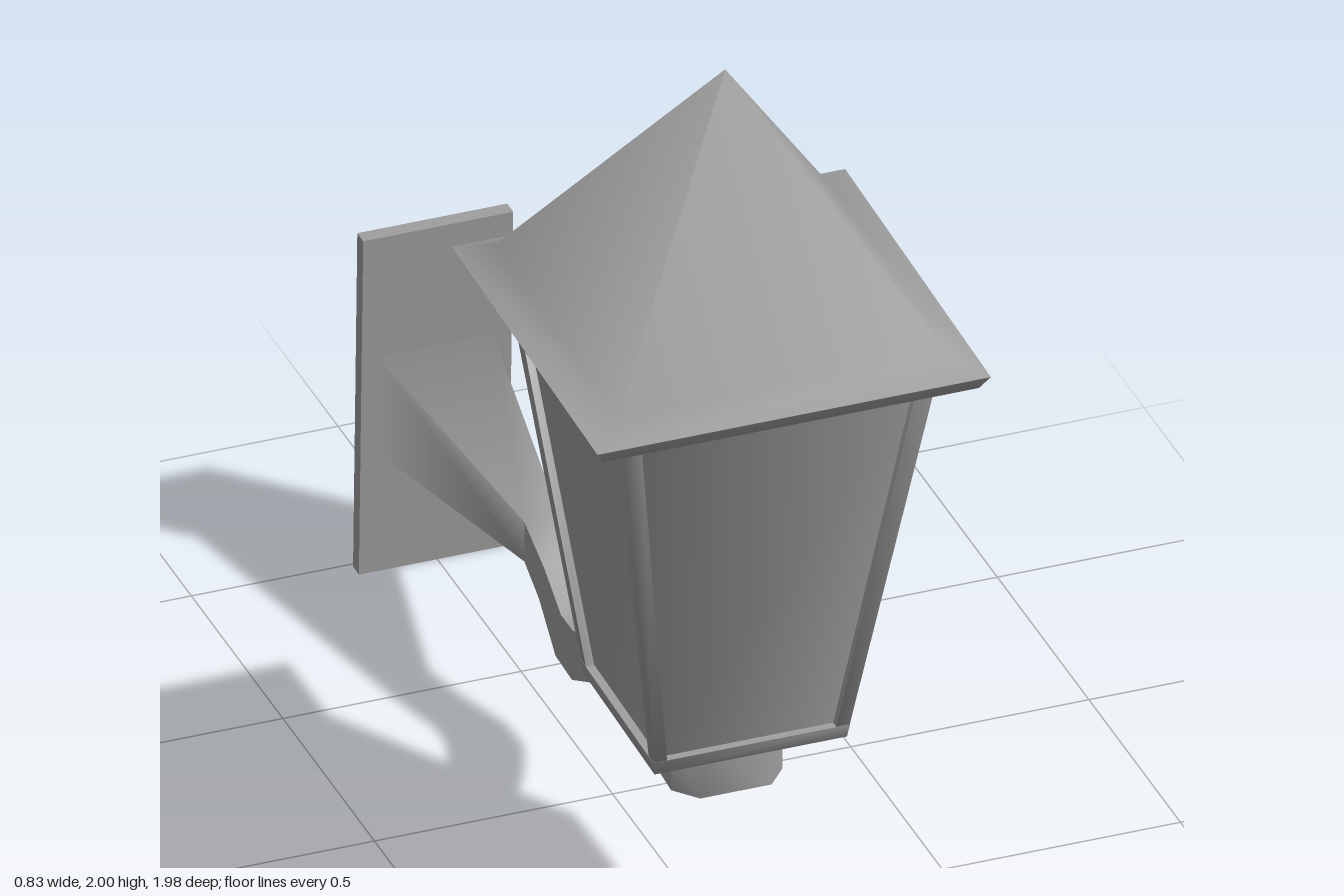
import * as THREE from 'three';
import { toCreasedNormals } from 'three/addons/utils/BufferGeometryUtils.js';

const material = new THREE.MeshStandardMaterial({ color: 0x9e9e9e, side: THREE.DoubleSide });

// Soften every edge that turns by less than a right angle
const CREASE = THREE.MathUtils.degToRad(89.5);

// Skin four-cornered cross-sections in order, with optional end caps
function loft(rings, capped = true) {
  const pos = [];
  const quad = (a, b, c, d) => [a, b, c, a, c, d].forEach((p) => pos.push(...p));
  for (let i = 0; i < rings.length - 1; i++) {
    for (let j = 0; j < 4; j++) {
      const k = (j + 1) % 4;
      quad(rings[i][j], rings[i][k], rings[i + 1][k], rings[i + 1][j]);
    }
  }
  if (capped) {
    quad(...[...rings[0]].reverse());
    quad(...rings[rings.length - 1]);
  }
  const geometry = new THREE.BufferGeometry();
  geometry.setAttribute('position', new THREE.Float32BufferAttribute(pos, 3));
  return toCreasedNormals(geometry, CREASE);
}

// Horizontal section of half width h at height y, slightly shallower than wide
const DEPTH = 0.965;
const square = (h, y, cx = 0, cz = 0) =>
  [[1, 1], [1, -1], [-1, -1], [-1, 1]].map(([sx, sz]) => [cx + sx * h, y, (cz + sz * h) * DEPTH]);

// Upright arm section: half width, then z and y of its top and bottom edges
const armSection = ([w, zt, yt, zb, yb]) => {
  const cx = -0.01;
  return [[cx - w, yb, zb], [cx - w, yt, zt], [cx + w, yt, zt], [cx + w, yb, zb]];
};

function addMesh(parent, name, geometry) {
  const mesh = new THREE.Mesh(geometry, material);
  mesh.name = name;
  parent.add(mesh);
  return mesh;
}

export function createModel() {
  const model = new THREE.Group();
  model.name = 'wallLantern';

  // Lantern head, leaning slightly forward
  const lantern = new THREE.Group();
  lantern.name = 'lantern';
  lantern.position.set(0, 0.518, 0.56);
  lantern.rotation.x = 0.037;
  model.add(lantern);

  // Pyramid roof with a flared eave
  addMesh(lantern, 'roof', loft([
    square(0.395, 0.885), square(0.413, 0.917), square(0.347, 0.946), square(0.0005, 1.483),
  ]));

  // Tapered glass set back behind the frame
  addMesh(lantern, 'glass', loft([square(0.187, 0.02), square(0.317, 0.89)], false));

  // Base tray and four corner posts
  addMesh(lantern, 'baseFrame', loft([square(0.202, 0), square(0.2065, 0.03)]));
  for (const sx of [-1, 1]) {
    for (const sz of [-1, 1]) {
      addMesh(lantern, 'cornerPost', loft([
        square(0.014, 0.01, sx * 0.189, sz * 0.189),
        square(0.02, 0.89, sx * 0.312, sz * 0.312),
      ]));
    }
  }

  // Cup under the lantern, narrowing back into the arm
  addMesh(model, 'cup', loft([
    [0.075, 0.7, 0.52, 0.7, 0.4],
    [0.117, 0.65, 0.52, 0.65, 0.4],
    [0.117, 0.58, 0.525, 0.58, 0.407],
    [0.037, 0.42, 0.525, 0.42, 0.455],
  ].map(armSection)));

  // Bent arm that flares out to the wall
  const arm = loft([
    [0.037, 0.45, 0.525, 0.45, 0.46],
    [0.037, 0.4, 0.52, 0.4, 0.45],
    [0.037, 0.185, 0.5, 0.215, 0.405],
    [0.037, -0.01, 0.365, 0.08, 0.305],
    [0.037, -0.095, 0.33, -0.1, 0.215],
    [0.037, -0.16, 0.33, -0.19, 0.22],
    [0.037, -0.25, 0.385, -0.28, 0.3],
    [0.037, -0.36, 0.43, -0.36, 0.34],
    [0.122, -0.95, 0.5, -0.95, 0.28],
  ].map(armSection), false);
  // Blend the flare's shading into the wall plate
  const { position, normal } = arm.attributes;
  for (let i = 0; i < position.count; i++) {
    if (position.getZ(i) < -0.9) normal.setXYZ(i, 0, 0, 1);
  }
  addMesh(model, 'arm', arm);

  // Wall plate
  const plate = addMesh(model, 'wallPlate', new THREE.BoxGeometry(0.315, 0.775, 0.032));
  plate.position.set(-0.007, 0.388, -0.962);
  plate.rotation.x = 0.03;

  return model;
}
